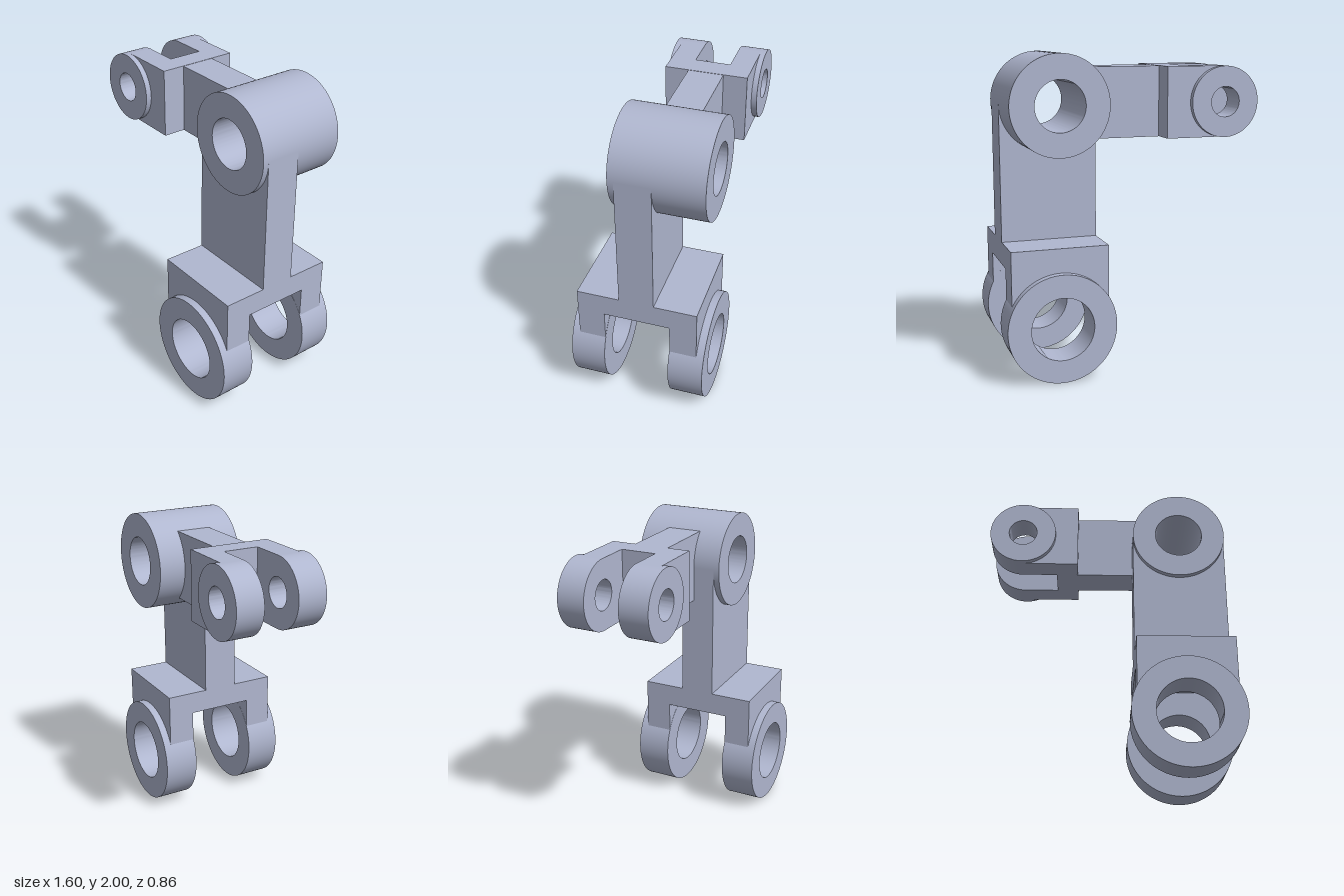
import * as THREE from 'three';
import { toCreasedNormals } from 'three/addons/utils/BufferGeometryUtils.js';

export function createModel() {
  const model = new THREE.Group();
  model.name = 'jointedLink';
  const metal = new THREE.MeshStandardMaterial({ color: 0xb0b7d0 });
  metal.name = 'blue grey metal';

  const add = (name, geometry) => {
    const mesh = new THREE.Mesh(geometry, metal);
    mesh.name = name;
    model.add(mesh);
    return mesh;
  };

  // Extrude a flat shape between two z planes, with smooth bores and sharp rims
  const extrude = (name, shape, z0, z1) => {
    const geo = new THREE.ExtrudeGeometry(shape, { depth: z1 - z0, bevelEnabled: false, curveSegments: 64 });
    const mesh = add(name, toCreasedNormals(geo, 0.5));
    mesh.position.z = z0;
    return mesh;
  };

  // Bored cylinder along z
  const ring = (name, pin, outer, bore, z0, z1) => {
    const shape = new THREE.Shape().absarc(0, 0, outer, 0, Math.PI * 2, false);
    shape.holes.push(new THREE.Path().absarc(0, 0, bore, 0, Math.PI * 2, true));
    const mesh = extrude(name, shape, z0, z1);
    mesh.position.x = pin[0];
    mesh.position.y = pin[1];
  };

  // Flat bar leaving a pin at an angle; its root is notched to clear the bore
  const bar = (name, pin, angle, length, half, notch, z0, z1) => {
    const shape = new THREE.Shape();
    shape.moveTo(0, -half);
    shape.lineTo(length, -half);
    shape.lineTo(length, half);
    shape.lineTo(0, half);
    shape.lineTo(0, notch);
    shape.absarc(0, 0, notch, Math.PI / 2, -Math.PI / 2, true);
    const mesh = extrude(name, shape, z0, z1);
    mesh.position.x = pin[0];
    mesh.position.y = pin[1];
    mesh.rotation.z = angle;
  };

  const box = (name, x0, x1, y0, y1, z0, z1) => {
    const mesh = add(name, new THREE.BoxGeometry(x1 - x0, y1 - y0, z1 - z0));
    mesh.position.set((x0 + x1) / 2, (y0 + y1) / 2, (z0 + z1) / 2);
  };

  const hub = [0.457, 1.695];
  const lowerPin = [0.457, 0.343];
  const sidePin = [-0.585, 1.697];

  // Main hub and the two arms that leave it
  ring('hub', hub, 0.305, 0.155, -0.417, 0.147);
  bar('uprightArm', hub, -Math.PI / 2, 0.86, 0.305, 0.25, -0.11, 0.11);
  bar('sideArm', hub, Math.PI, 0.68, 0.218, 0.19, -0.247, -0.027);

  // Lower fork
  box('lowerForkBridge', 0.152, 0.762, 0.695, 0.838, -0.38, 0.38);
  for (const [side, s] of [['front', 1], ['back', -1]]) {
    const span = (a, b) => (s > 0 ? [a, b] : [-b, -a]);
    bar(side + 'LowerTine', lowerPin, Math.PI / 2, 0.495, 0.305, 0.26, ...span(0.209, 0.38));
    ring(side + 'LowerRing', lowerPin, 0.343, 0.198, ...span(0.208, 0.428));
  }

  // Side fork
  box('sideForkBridge', -0.36, -0.217, 1.479, 1.915, -0.396, 0.12);
  const tines = [['front', -0.032, 0.12, 0.156], ['back', -0.254, -0.396, -0.43]];
  for (const [side, inner, tine, outer] of tines) {
    const sort = (a, b) => [Math.min(a, b), Math.max(a, b)];
    bar(side + 'SideTine', sidePin, 0, 0.368, 0.218, 0.15, ...sort(inner, tine));
    ring(side + 'SideRing', sidePin, 0.218, 0.093, ...sort(inner, outer));
  }

  return model;
}
